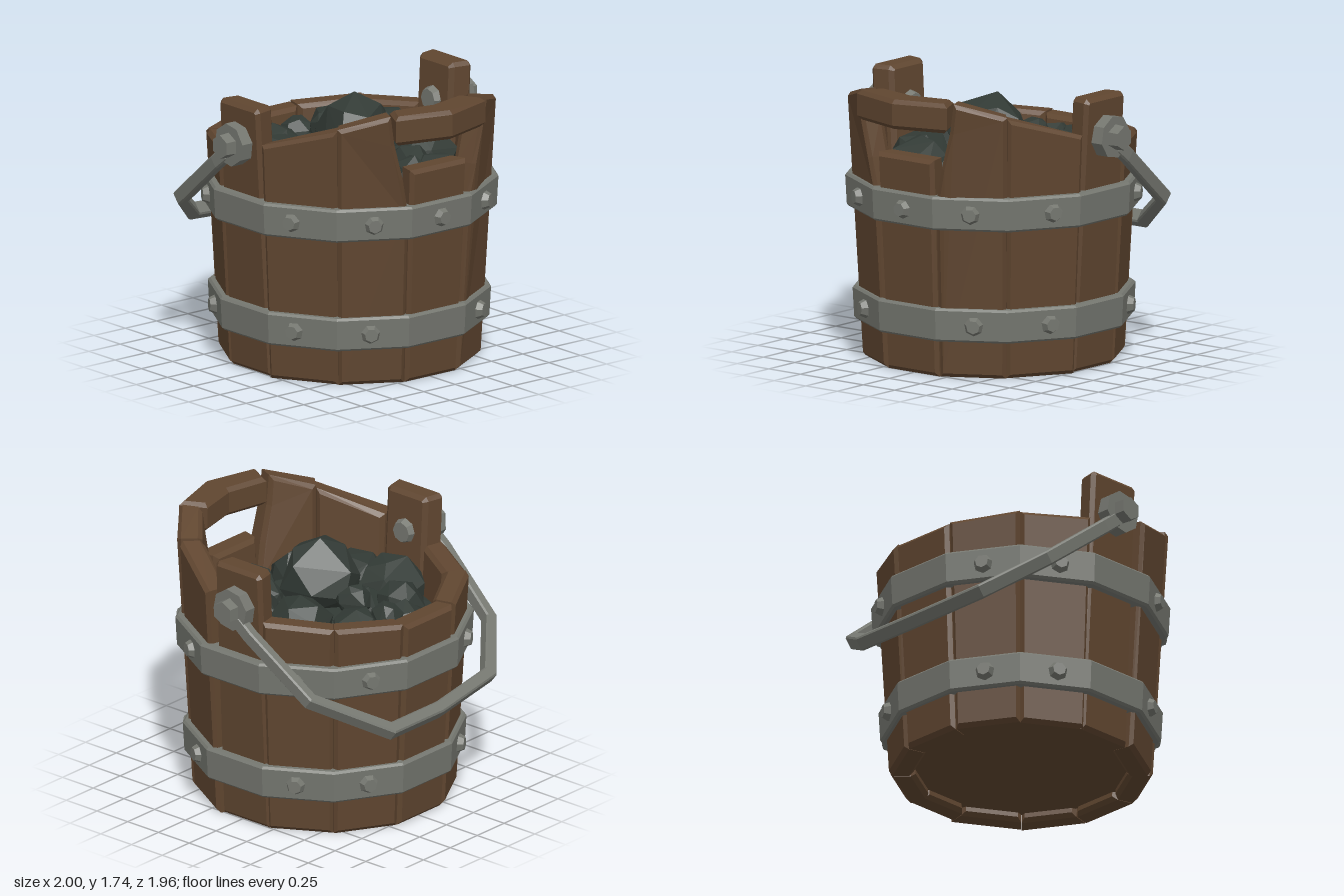
import * as THREE from 'three';
import { ConvexGeometry } from 'three/addons/geometries/ConvexGeometry.js';

const SLOPE = 0.055;   // outward lean of the staves
const CZ = -0.008;     // bucket axis position in z
const W = 0.208;       // half width of a stave at the ground
const rad = THREE.MathUtils.degToRad;

function seeded(seed) {
  let s = seed;
  return () => {
    s = (s * 16807) % 2147483647;
    return s / 2147483647;
  };
}

const toShape = (pts) => new THREE.Shape(pts.map((p) => new THREE.Vector2(p[0], p[1])));

// Extrusion with chamfered edges that stays within the given outline, z from 0 to depth
function chamfered(shape, depth, b) {
  const geo = new THREE.ExtrudeGeometry(shape, {
    depth: depth - 2 * b, bevelEnabled: true, bevelSize: b, bevelThickness: b, bevelOffset: -b, bevelSegments: 1,
  });
  return geo.translate(0, 0, b);
}

function flat(geo) {
  const g = geo.index ? geo.toNonIndexed() : geo;
  g.computeVertexNormals();
  return g;
}

// Leaning plank with wedge-shaped sides; side -1 mirrors it, flare twists its upper front edge outward
function staveGeometry(outline, radius, side, flare) {
  const t = 0.15;
  const geo = chamfered(toShape(outline.map(([x, y]) => [x * side, y])), t, 0.025);
  const p = geo.attributes.position;
  for (let i = 0; i < p.count; i++) {
    const x = p.getX(i), y = p.getY(i);
    const r = radius - t + p.getZ(i) + SLOPE * y;
    const twist = flare * Math.max(0, y - 1) * (W - x * side);
    p.setXYZ(i, (x * r) / radius, y, r + twist);
  }
  return flat(geo);
}

// Twelve-sided hoop, following the lean of the staves
function bandGeometry(apothem, height) {
  const ring = (a) => Array.from({ length: 12 }, (_, i) => {
    const ang = rad(15 + 30 * i), r = a / Math.cos(rad(15));
    return [r * Math.sin(ang), r * Math.cos(ang)];
  });
  const shape = toShape(ring(apothem));
  shape.holes.push(toShape(ring(apothem - 0.08)));
  const geo = chamfered(shape, height, 0.014).rotateX(-Math.PI / 2);
  const p = geo.attributes.position;
  for (let i = 0; i < p.count; i++) {
    const k = 1 + ((p.getY(i) - height / 2) * SLOPE) / apothem;
    p.setXYZ(i, p.getX(i) * k, p.getY(i), p.getZ(i) * k);
  }
  return flat(geo);
}

function rockGeometry(r, rnd) {
  const pts = [], n = 20;
  for (let i = 0; i < n; i++) {
    const y = 1 - (2 * i + 1) / n;
    const a = i * 2.39996 + rnd() * 0.7;
    const q = Math.sqrt(1 - y * y);
    const k = r * (0.94 + 0.14 * rnd());
    pts.push(new THREE.Vector3(q * Math.cos(a) * k, y * k, q * Math.sin(a) * k));
  }
  return new ConvexGeometry(pts);
}

export function createModel() {
  const wood = new THREE.MeshStandardMaterial({ color: 0x604630 });
  const iron = new THREE.MeshStandardMaterial({ color: 0x757770 });
  const coal = new THREE.MeshStandardMaterial({ color: 0x323a35 });
  wood.name = 'wood';
  iron.name = 'iron';
  coal.name = 'coal';

  const model = new THREE.Group();
  model.name = 'coalBucket';
  const bucket = new THREE.Group();
  bucket.name = 'bucket';
  bucket.position.z = CZ;
  model.add(bucket);

  const add = (parent, name, geo, mat, x = 0, y = 0, z = 0) => {
    const m = new THREE.Mesh(geo, mat);
    m.name = name;
    m.position.set(x, y, z);
    parent.add(m);
    return m;
  };

  // Staves: angle from the front, radius, outline running from front edge to back edge, flare
  const plank = (h0, h1, back = W) => [[-W, 0], [back, 0], [back, h1], [-W, h0]];
  const staves = [
    [0, 0.79, plank(1.365, 1.365), 0],
    [30, 0.787, [[-W, 0], [W, 0], [W, 1.65], [-0.09, 1.735], [-0.115, 1.55], [-0.17, 1.32], [-W, 1.1]], 0.22],
    [60, 0.775, plank(1.635, 1.5, 0.248), 0],
    [120, 0.775, plank(1.4, 1.385), 0],
    [150, 0.785, plank(1.39, 1.365), 0],
    [180, 0.787, plank(1.355, 1.355), 0],
  ];
  for (const [a, r, outline, flare] of staves) {
    for (const s of a % 180 ? [1, -1] : [1]) {
      add(bucket, 'stave', staveGeometry(outline, r, s, flare), wood).rotation.y = rad(a * s);
    }
  }

  // Tall ear staves that carry the handle
  const ear = [[-0.205, 0], [0.19, 0], [0.172, 1.69], [0.15, 1.715], [-0.15, 1.715], [-0.172, 1.69]];
  for (const s of [1, -1]) {
    add(bucket, 'earStave', staveGeometry(ear, 0.768, s, 0), wood, 0, 0, -0.038).rotation.y = (s * Math.PI) / 2;
  }

  // Floor of the bucket
  add(bucket, 'floor', flat(new THREE.CylinderGeometry(0.68, 0.68, 0.06, 24)), wood, 0, 0.085, 0);

  // Bent grip bridging the front opening
  const grip = toShape([
    [-0.365, -0.87], [0, -0.975], [0.35, -0.87], [0.27, -0.71], [0, -0.77], [-0.28, -0.71],
  ]);
  add(model, 'frontGrip', chamfered(grip, 0.185, 0.025).rotateX(-Math.PI / 2), wood, 0, 1.552, 0);

  // Hoops with their rivets
  const bands = [
    { name: 'lowerBand', y: 0.23, a: 0.836, angles: [31, 64, 119, 150] },
    { name: 'upperBand', y: 0.935, a: 0.88, angles: [0, 30, 64, 119, 150] },
  ];
  const rivet = flat(new THREE.CylinderGeometry(0.042, 0.066, 0.05, 7).rotateX(Math.PI / 2));
  for (const b of bands) {
    add(bucket, b.name, bandGeometry(b.a, 0.21), iron, 0, b.y, 0);
    const all = b.angles.concat(b.angles.filter((a) => a > 0).map((a) => -a));
    for (const deg of all) {
      const a = rad(deg), r = b.a + 0.014;
      add(bucket, 'rivet', rivet, iron, r * Math.sin(a), b.y + 0.105, r * Math.cos(a)).rotation.y = a;
    }
  }

  // Pivots on both ears: washer, hexagonal nut and inner bolt head
  const washer = flat(new THREE.CylinderGeometry(0.135, 0.135, 0.09, 8, 1, false, 0.2).rotateZ(-Math.PI / 2));
  const nut = flat(new THREE.CylinderGeometry(0.075, 0.08, 0.08, 6, 1, false, Math.PI / 6).rotateZ(-Math.PI / 2));
  const head = flat(new THREE.CylinderGeometry(0.088, 0.065, 0.06, 8).rotateZ(-Math.PI / 2));
  for (const s of [1, -1]) {
    const pivot = new THREE.Group();
    pivot.name = 'handlePivot';
    pivot.position.set(0, 1.465, -0.05);
    pivot.rotation.y = s > 0 ? 0 : Math.PI;
    add(pivot, 'washer', washer, iron, 0.885);
    add(pivot, 'nut', nut, iron, 0.96);
    add(pivot, 'boltHead', head, iron, 0.69);
    model.add(pivot);
  }

  // Carrying handle: faceted flat bar hanging down over the back
  const handle = toShape([
    [-0.935, 0.06], [-0.935, 0.18], [-0.87, 0.73], [-0.555, 1.08], [0, 1.155], [0.45, 1.155], [0.87, 0.74],
    [0.935, 0.18], [0.935, 0.06], [0.868, 0.06], [0.868, 0.18], [0.802, 0.71], [0.42, 1.075], [0, 1.075],
    [-0.515, 1.005], [-0.802, 0.7], [-0.868, 0.18], [-0.868, 0.06],
  ]);
  const handleGeo = chamfered(handle, 0.09, 0.01).translate(0, 0, -0.045);
  add(model, 'handle', handleGeo.rotateX(-Math.PI / 2 - 0.664), iron, 0, 1.435, -0.05);

  // Coal heap: low mound and lumps given as x, y, z, radius
  add(bucket, 'coalBed', flat(new THREE.CylinderGeometry(0.4, 0.73, 0.14, 12)), coal, 0, 1.16, 0);
  const lumps = [
    [0, 1.36, 0.03, 0.265], [-0.42, 1.2, -0.17, 0.22], [-0.24, 1.23, -0.41, 0.17], [0.03, 1.26, -0.54, 0.11],
    [0.27, 1.22, -0.5, 0.18], [0.07, 1.33, -0.3, 0.11], [0.43, 1.22, -0.17, 0.215], [0.44, 1.18, 0.2, 0.205],
    [-0.45, 1.17, 0.14, 0.195], [-0.25, 1.17, 0.41, 0.22], [0.07, 1.18, 0.5, 0.15], [0.31, 1.12, 0.44, 0.18],
    [-0.13, 1.19, -0.54, 0.13], [-0.1, 1.2, -0.23, 0.15], [0.22, 1.18, 0.31, 0.15],
  ];
  const rnd = seeded(4217);
  for (const [x, y, z, r] of lumps) {
    add(bucket, 'coalLump', rockGeometry(r, rnd), coal, x, y, z).rotation.set(rnd() * 3, rnd() * 6, rnd() * 3);
  }
  return model;
}
